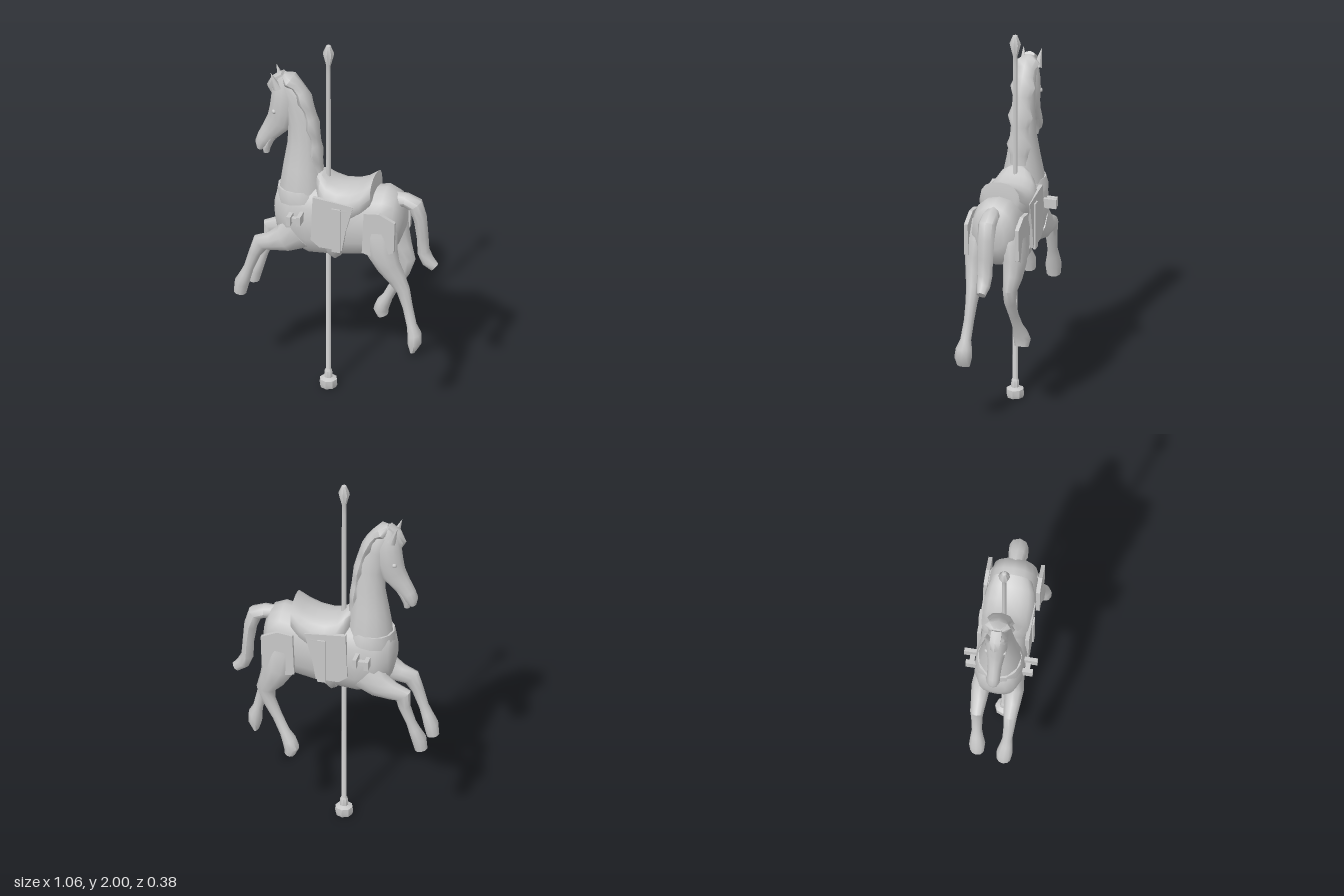
import * as THREE from 'three';
import { toCreasedNormals } from 'three/addons/utils/BufferGeometryUtils.js';

// Skin through oval rings [x, y, z, half depth in the side plane, half width in z].
function loft(rings, sides = 12, upright = false, square = 1) {
  const pos = [], idx = [], N = rings.length;
  const pw = (v) => Math.sign(v) * Math.abs(v) ** square;
  rings.forEach(([x, y, z, r, w], i) => {
    const a = rings[Math.max(0, i - 1)], b = rings[Math.min(N - 1, i + 1)];
    let tx = b[0] - a[0], ty = b[1] - a[1];
    const l = Math.hypot(tx, ty) || 1;
    tx /= l; ty /= l;
    if (upright) { tx = 1; ty = 0; }
    for (let j = 0; j < sides; j++) {
      const t = (j / sides) * Math.PI * 2, c = pw(Math.cos(t)) * r, s = pw(Math.sin(t)) * w;
      pos.push(x - ty * c, y + tx * c, z + s);
    }
  });
  for (let i = 0; i < N - 1; i++) for (let j = 0; j < sides; j++) {
    const k = (j + 1) % sides, a = i * sides + j, b = i * sides + k;
    idx.push(a, b, a + sides, b, b + sides, a + sides);
  }
  const first = pos.length / 3, last = (N - 1) * sides;
  pos.push(...rings[0].slice(0, 3), ...rings[N - 1].slice(0, 3));
  for (let j = 0; j < sides; j++) {
    const k = (j + 1) % sides;
    idx.push(first, k, j, first + 1, last + j, last + k);
  }
  const g = new THREE.BufferGeometry();
  g.setAttribute('position', new THREE.Float32BufferAttribute(pos, 3));
  g.setIndex(idx);
  return toCreasedNormals(g, 0.95);
}

// Rings given as [x, top, bottom, half width], standing upright.
const slices = (list) => list.map(([x, t, b, w]) => [x, (t + b) / 2, 0, (t - b) / 2, w]);

function plate(points, depth) {
  const shape = new THREE.Shape(points.map(([x, y]) => new THREE.Vector2(x, y)));
  return new THREE.ExtrudeGeometry(shape, { depth, bevelEnabled: false }).translate(0, 0, -depth / 2);
}

export function createModel() {
  const model = new THREE.Group();
  const grey = new THREE.MeshStandardMaterial({ color: 0xc8c8c8 });
  grey.name = 'plain grey';
  const add = (name, geometry, x = 0, y = 0, z = 0) => {
    const m = new THREE.Mesh(geometry, grey);
    m.name = name;
    m.position.set(x, y, z);
    model.add(m);
    return m;
  };

  // Pole with foot and pointed finial
  add('pole', toCreasedNormals(new THREE.LatheGeometry([
    [0, 0], [0.042, 0], [0.047, 0.015], [0.045, 0.045], [0.022, 0.055], [0.02, 0.09], [0.014, 0.1],
    [0.012, 1.82], [0.012, 1.88], [0.03, 1.95], [0.012, 1.995], [0, 2],
  ].map(([r, y]) => new THREE.Vector2(r, y)), 8), 0.7), -0.053);

  // Trunk
  add('body', loft(slices([
    [-0.325, 1.09, 0.98, 0.05], [-0.305, 1.16, 0.9, 0.09], [-0.24, 1.19, 0.83, 0.122],
    [-0.14, 1.2, 0.79, 0.128], [0, 1.2, 0.8, 0.122], [0.1, 1.2, 0.82, 0.122],
    [0.19, 1.21, 0.84, 0.128], [0.26, 1.225, 0.86, 0.128], [0.32, 1.2, 0.9, 0.112],
    [0.35, 1.13, 0.98, 0.07],
  ]), 16, true, 0.85));

  // Neck and head
  add('neck', loft([
    [-0.19, 1.04, 0, 0.13, 0.115], [-0.19, 1.16, 0, 0.118, 0.11], [-0.19, 1.28, 0, 0.1, 0.085],
    [-0.187, 1.4, 0, 0.083, 0.066], [-0.195, 1.52, 0, 0.073, 0.056], [-0.225, 1.64, 0, 0.07, 0.05],
    [-0.27, 1.73, 0, 0.06, 0.045], [-0.31, 1.76, 0, 0.03, 0.03],
  ]));
  add('head', loft([
    [-0.29, 1.79, 0, 0.03, 0.025], [-0.288, 1.74, 0, 0.056, 0.045], [-0.288, 1.66, 0, 0.068, 0.055],
    [-0.295, 1.58, 0, 0.07, 0.056], [-0.312, 1.51, 0, 0.069, 0.046], [-0.355, 1.45, 0, 0.053, 0.036],
    [-0.39, 1.4, 0, 0.042, 0.034], [-0.408, 1.365, 0, 0.034, 0.034], [-0.414, 1.335, 0, 0.018, 0.024],
  ]));
  add('lowerJaw', loft([
    [-0.33, 1.45, 0, 0.025, 0.03], [-0.365, 1.385, 0, 0.02, 0.028], [-0.383, 1.345, 0, 0.022, 0.026],
    [-0.382, 1.315, 0, 0.016, 0.018],
  ], 8));
  add('forelock', loft([
    [-0.29, 1.79, 0, 0.02, 0.03], [-0.335, 1.755, 0, 0.022, 0.032], [-0.355, 1.71, 0, 0.025, 0.025],
    [-0.345, 1.66, 0, 0.006, 0.006],
  ], 6));

  // Wavy crest down the back of the neck
  const crest = new THREE.CatmullRomCurve3([
    [-0.29, 1.785], [-0.215, 1.725], [-0.165, 1.62], [-0.135, 1.5], [-0.12, 1.38], [-0.11, 1.26],
  ].map(([x, y]) => new THREE.Vector3(x, y, 0)));
  const crestRings = crest.getPoints(12).map((p, i) => {
    const wave = i % 3 === 1 ? 1 : 0.72;
    return [p.x, p.y, 0, i === 0 ? 0.015 : 0.034 * (0.7 + wave * 0.3), i === 0 ? 0.025 : 0.066 * wave];
  });
  add('mane', loft(crestRings, 8));

  // Tail
  add('tail', loft([
    [0.29, 1.16, 0, 0.045, 0.035], [0.36, 1.165, 0, 0.036, 0.045], [0.41, 1.145, 0, 0.04, 0.048],
    [0.435, 1.07, 0, 0.034, 0.045], [0.447, 0.97, 0, 0.03, 0.042], [0.452, 0.88, 0, 0.032, 0.04],
    [0.475, 0.83, 0, 0.034, 0.036], [0.512, 0.797, 0, 0.026, 0.024],
  ], 8));

  // Legs
  for (const s of [1, -1]) {
    const side = s > 0 ? 'left' : 'right', dx = s > 0 ? 0 : 0.025;
    add(side + 'FrontLeg', loft([
      [-0.19, 0.93, s * 0.07, 0.11, 0.055], [-0.26, 0.875, s * 0.085, 0.075, 0.05],
      [-0.33, 0.848, s * 0.085, 0.05, 0.042], [-0.385, 0.83, s * 0.085, 0.048, 0.036],
      [-0.416 + dx, 0.765, s * 0.085, 0.032, 0.03], [-0.45 + dx, 0.67, s * 0.08, 0.026, 0.026],
      [-0.465 + dx, 0.63, s * 0.078, 0.03, 0.032], [-0.49 + dx, 0.57, s * 0.072, 0.038, 0.042],
      [-0.5 + dx, 0.512, s * 0.07, 0.033, 0.036],
    ], 10));
    const thigh = [
      [0.24, 1.1, s * 0.085, 0.06, 0.05], [0.25, 1.0, s * 0.09, 0.092, 0.062],
      [0.265, 0.9, s * 0.1, 0.085, 0.06], [0.3, 0.82, s * 0.1, 0.065, 0.048],
    ];
    const shin = s > 0 ? [
      [0.34, 0.755, 0.095, 0.05, 0.038], [0.375, 0.69, 0.095, 0.037, 0.03], [0.4, 0.6, 0.1, 0.027, 0.026],
      [0.425, 0.5, 0.11, 0.026, 0.028], [0.44, 0.455, 0.115, 0.036, 0.042], [0.442, 0.41, 0.118, 0.036, 0.046],
      [0.435, 0.36, 0.118, 0.014, 0.034],
    ] : [
      [0.33, 0.76, -0.095, 0.05, 0.036], [0.315, 0.69, -0.09, 0.036, 0.03], [0.27, 0.6, -0.095, 0.027, 0.025],
      [0.23, 0.52, -0.105, 0.027, 0.028], [0.205, 0.475, -0.11, 0.036, 0.04], [0.19, 0.435, -0.115, 0.039, 0.044],
      [0.2, 0.4, -0.115, 0.028, 0.036],
    ];
    add(side + 'HindLeg', loft([...thigh, ...shin], 10));

    // Ears
    const ear = add(side + 'Ear', new THREE.ConeGeometry(0.024, 0.1, 6), -0.328, 1.765, s * 0.043);
    ear.rotation.set(s * 0.12, 0, 0.35);

    // Eyes
    add(side + 'Eye', new THREE.SphereGeometry(0.013, 8, 6), -0.328, 1.585, s * 0.045);

    // Saddle flap and stirrup strap
    add(side + 'SaddleFlap', plate([
      [-0.095, 1.17], [-0.105, 0.92], [-0.06, 0.885], [0.06, 0.885], [0.08, 1.0], [0.12, 1.15],
    ].reverse(), 0.02), 0, 0, s * 0.123);
    add(side + 'StirrupStrap', new THREE.BoxGeometry(0.045, 0.25, 0.014), 0.03, 1.0, s * 0.134);

    // Foot rest: a bar with two upturned ends
    add(side + 'FootRest', new THREE.BoxGeometry(0.07, 0.022, 0.025), -0.18, 1.03, s * 0.142);
    add(side + 'FootRestFrontEnd', new THREE.BoxGeometry(0.022, 0.05, 0.06), -0.212, 1.03, s * 0.142);
    add(side + 'FootRestRearEnd', new THREE.BoxGeometry(0.02, 0.05, 0.075), -0.155, 1.045, s * 0.15);

    // Cloth over the haunch
    add(side + 'HaunchCloth', plate([
      [0.17, 0.9], [0.25, 0.88], [0.34, 0.93], [0.345, 1.1], [0.26, 1.14], [0.18, 1.13],
    ], 0.02), 0, 0, s * 0.135);
  }

  // Saddle with raised pommel and cantle
  add('saddle', loft(slices([
    [-0.1, 1.265, 1.1, 0.06], [-0.075, 1.262, 1.05, 0.1], [-0.04, 1.232, 1.02, 0.126],
    [0.02, 1.213, 1.01, 0.134], [0.09, 1.222, 1.02, 0.134], [0.15, 1.248, 1.06, 0.126],
    [0.2, 1.29, 1.1, 0.105], [0.206, 1.25, 1.12, 0.08],
  ]), 16, true, 0.85));

  // Girth and breast strap
  add('girth', loft(slices([
    [-0.03, 1.18, 0.79, 0.128], [0, 1.18, 0.775, 0.13], [0.03, 1.18, 0.8, 0.128],
  ]), 16, true, 0.85));
  add('breastStrap', loft([
    [-0.195, 1.1, 0, 0.128, 0.125], [-0.2, 1.135, 0, 0.123, 0.123], [-0.202, 1.165, 0, 0.115, 0.113],
  ], 14));

  return model;
}
